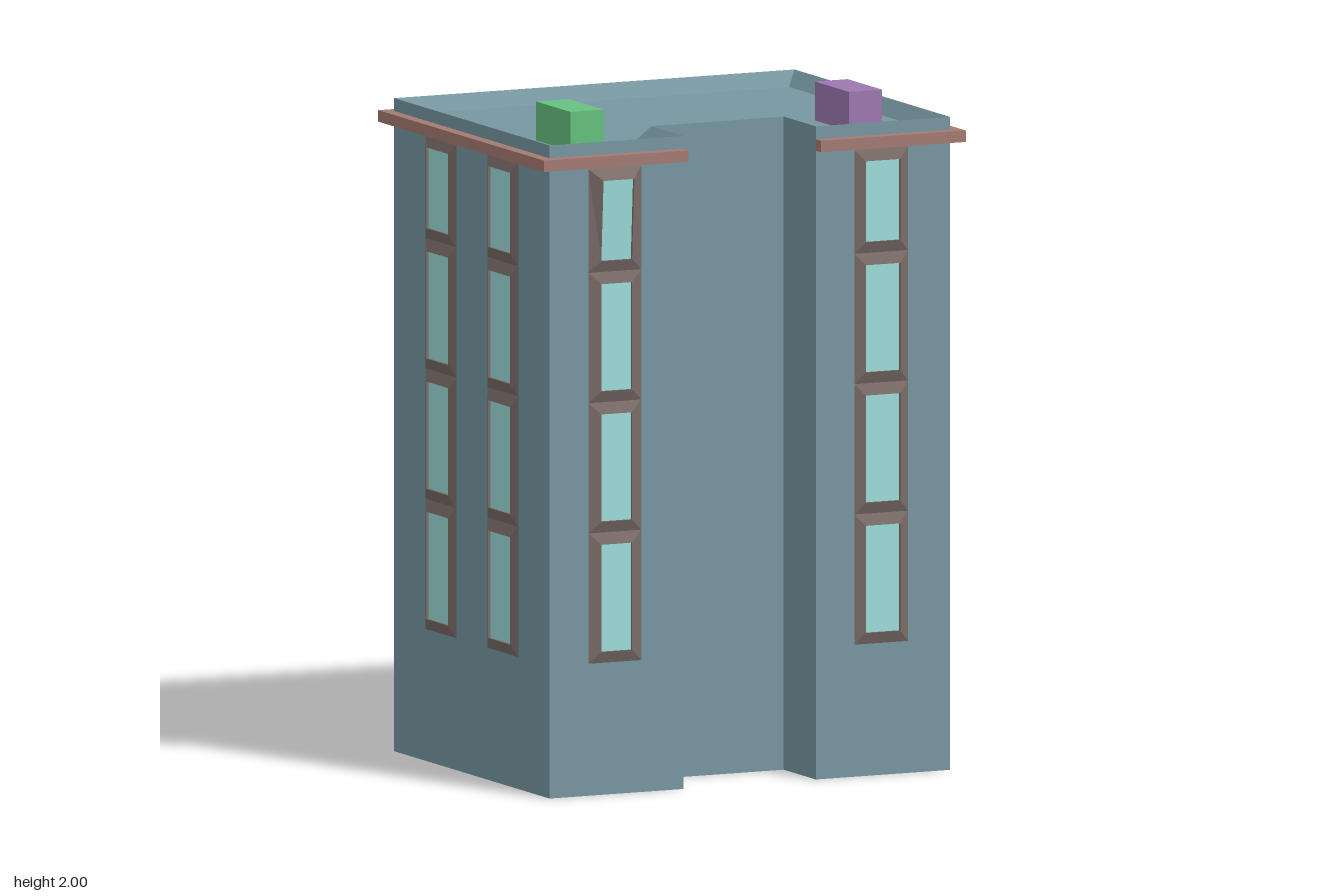
import * as THREE from 'three';

const mat = (color, side = THREE.FrontSide) =>
  new THREE.MeshStandardMaterial({ color, flatShading: true, side });
const WALL = mat(0x7797a1), TRIM = mat(0xa47a72), FRAME = mat(0x7a6c68), GLASS = mat(0x9cdcd9);
const DOOR = mat(0x966b62), SIGN = mat(0xb05f62), DARK = mat(0x55504e);
const GREEN = mat(0x66c07f), PURPLE = mat(0x9c78b0);

const ROOF = 1.885, TOP = 1.93;

function add(parent, name, geometry, material, x = 0, y = 0, z = 0) {
  const mesh = new THREE.Mesh(geometry, material);
  mesh.name = name;
  mesh.position.set(x, y, z);
  parent.add(mesh);
  return mesh;
}

// Box given by its lower and upper corners
function block(parent, name, material, [x0, y0, z0], [x1, y1, z1]) {
  return add(parent, name, new THREE.BoxGeometry(x1 - x0, y1 - y0, z1 - z0), material,
    (x0 + x1) / 2, (y0 + y1) / 2, (z0 + z1) / 2);
}

// Extrudes a plan outline of [x, z] points between two heights
function slab(points, y0, y1) {
  const shape = new THREE.Shape(points.map(([x, z]) => new THREE.Vector2(x, z)));
  return new THREE.ExtrudeGeometry(shape, { depth: y1 - y0, bevelEnabled: false })
    .rotateX(Math.PI / 2).translate(0, y1, 0);
}

// Joins closed rings of points with flat quads
function loft(rings) {
  const pos = [];
  for (let r = 0; r < rings.length - 1; r++) {
    const a = rings[r], b = rings[r + 1], n = a.length;
    for (let i = 0; i < n; i++) {
      const j = (i + 1) % n;
      pos.push(...a[i], ...a[j], ...b[j], ...a[i], ...b[j], ...b[i]);
    }
  }
  const g = new THREE.BufferGeometry();
  g.setAttribute('position', new THREE.Float32BufferAttribute(pos, 3));
  g.computeVertexNormals();
  return g;
}

// Bevelled frame standing off the wall with a recessed pane; lean tips the top outwards
function makeWindow(halfW, h, paneHalfW, lean = 0) {
  const inset = 0.034;
  const ring = (w, y0, y1, z) => [[-w, y0, z], [w, y0, z], [w, y1, z + lean], [-w, y1, z + lean]];
  const outer = ring(halfW, 0, h, 0).map(([x, y]) => [x, y, 0]);
  const paneRing = (z) => ring(paneHalfW, inset, h - inset, z);
  const group = new THREE.Group();
  group.name = 'window';
  add(group, 'windowFrame', loft([outer, paneRing(0.013), paneRing(0.004)]), FRAME);
  const pane = new THREE.PlaneGeometry(paneHalfW * 2, h - inset * 2);
  const p = pane.attributes.position;
  for (let i = 0; i < p.count; i++) p.setZ(i, 0.004 + (p.getY(i) > 0 ? lean : 0));
  pane.computeVertexNormals();
  add(group, 'windowPane', pane, GLASS, 0, h / 2, 0);
  return group;
}

export function createModel() {
  const model = new THREE.Group();
  model.name = 'building';

  // Walls and parapet: a block with a notch in the front, ridge sloping in to the roof
  const plan = (d) => {
    const x = 0.65 - d, z = 0.52 - d, n = 0.215 + d, back = 0.305 - d;
    return [[-x, z], [-n, z], [-n, back], [n, back], [n, z], [x, z], [x, -z], [-x, -z]];
  };
  const ringAt = (d, y) => plan(d).map(([x, z]) => [x, y, z]);
  add(model, 'walls', slab(plan(0), 0, ROOF), WALL);
  add(model, 'parapet', loft([ringAt(0, ROOF), ringAt(0, TOP), ringAt(0.034, ROOF)]), WALL);

  // Cornice around the outside, open at the notch
  add(model, 'cornice', slab([
    [-0.685, 0.555], [-0.685, -0.555], [0.685, -0.555], [0.685, 0.555], [0.215, 0.555],
    [0.215, 0.52], [0.65, 0.52], [0.65, -0.52], [-0.65, -0.52], [-0.65, 0.52],
    [-0.215, 0.52], [-0.215, 0.555]], 1.858, 1.892), TRIM);

  // Two columns of four windows on every side
  const levels = [0.39, 0.775, 1.16, 1.545, 1.852];
  const columns = [
    { x: -0.438, z: 0.52, turn: 0, w: 0.086, pane: 0.05, lean: 0.015 },
    { x: 0.427, z: 0.52, turn: 0, w: 0.087, pane: 0.056 },
  ];
  for (const s of [-1, 1]) {
    columns.push({ x: s * 0.327, z: -0.52, turn: Math.PI, w: 0.1035, pane: 0.074 });
    for (const side of [-1, 1])
      columns.push({ x: side * 0.65, z: s * 0.208, turn: side * Math.PI / 2, w: 0.1035, pane: 0.074 });
  }
  for (const c of columns) {
    for (let i = 0; i < 4; i++) {
      const win = makeWindow(c.w, levels[i + 1] - levels[i], c.pane, i === 3 ? c.lean : 0);
      win.position.set(c.x, levels[i], c.z);
      win.rotation.y = c.turn;
      model.add(win);
    }
  }

  // Double door in the back wall, built facing +z and then turned
  const entrance = new THREE.Group();
  entrance.name = 'entrance';
  entrance.position.z = -0.52;
  entrance.rotation.y = Math.PI;
  model.add(entrance);
  block(entrance, 'doorLintel', FRAME, [-0.213, 0.325, 0], [0.213, 0.355, 0.014]);
  for (const s of [-1, 1]) {
    const span = (name, m, a, b, y0, y1, z) =>
      block(entrance, name, m, [Math.min(s * a, s * b), y0, 0], [Math.max(s * a, s * b), y1, z]);
    span('doorPost', FRAME, 0.17, 0.213, 0, 0.325, 0.014);
    span('doorLeaf', DOOR, 0.002, 0.17, 0, 0.325, 0.006);
    span('doorPane', GLASS, 0.068, 0.118, 0.07, 0.27, 0.008);
    add(entrance, 'doorKnob', new THREE.SphereGeometry(0.01, 8, 6), DARK, s * 0.024, 0.17, 0.009);
  }

  // Gabled plaque beside the door
  const plaque = new THREE.Shape([[-0.093, 0.15], [0.093, 0.15], [0.093, 0.215], [0.045, 0.25],
    [0, 0.26], [-0.045, 0.25], [-0.093, 0.215]].map(([x, y]) => new THREE.Vector2(x, y)));
  add(entrance, 'plaque', new THREE.ExtrudeGeometry(plaque, { depth: 0.013, bevelEnabled: false }),
    SIGN, 0.328, 0, 0);
  block(entrance, 'plaqueLedge', SIGN, [0.235, 0.205, 0], [0.421, 0.213, 0.016]);

  // Drainpipe in the notch with its inlet through the parapet
  block(model, 'drainpipe', FRAME, [-0.218, 0, 0.36], [-0.198, 1.9, 0.386]);
  block(model, 'drainInlet', FRAME, [-0.252, 1.88, 0.36], [-0.205, 1.9, 0.386]);

  // Rooftop units and small vent pipes
  block(model, 'leftRoofUnit', PURPLE, [0.395, ROOF, 0.142], [0.502, 2, 0.372]);
  block(model, 'rightRoofUnit', GREEN, [-0.51, ROOF, 0.142], [-0.402, 2, 0.372]);
  for (const x of [-0.375, 0.538])
    add(model, 'roofVent', new THREE.CylinderGeometry(0.008, 0.008, 0.05, 8), DARK, x, ROOF + 0.025, 0.112);

  return model;
}
